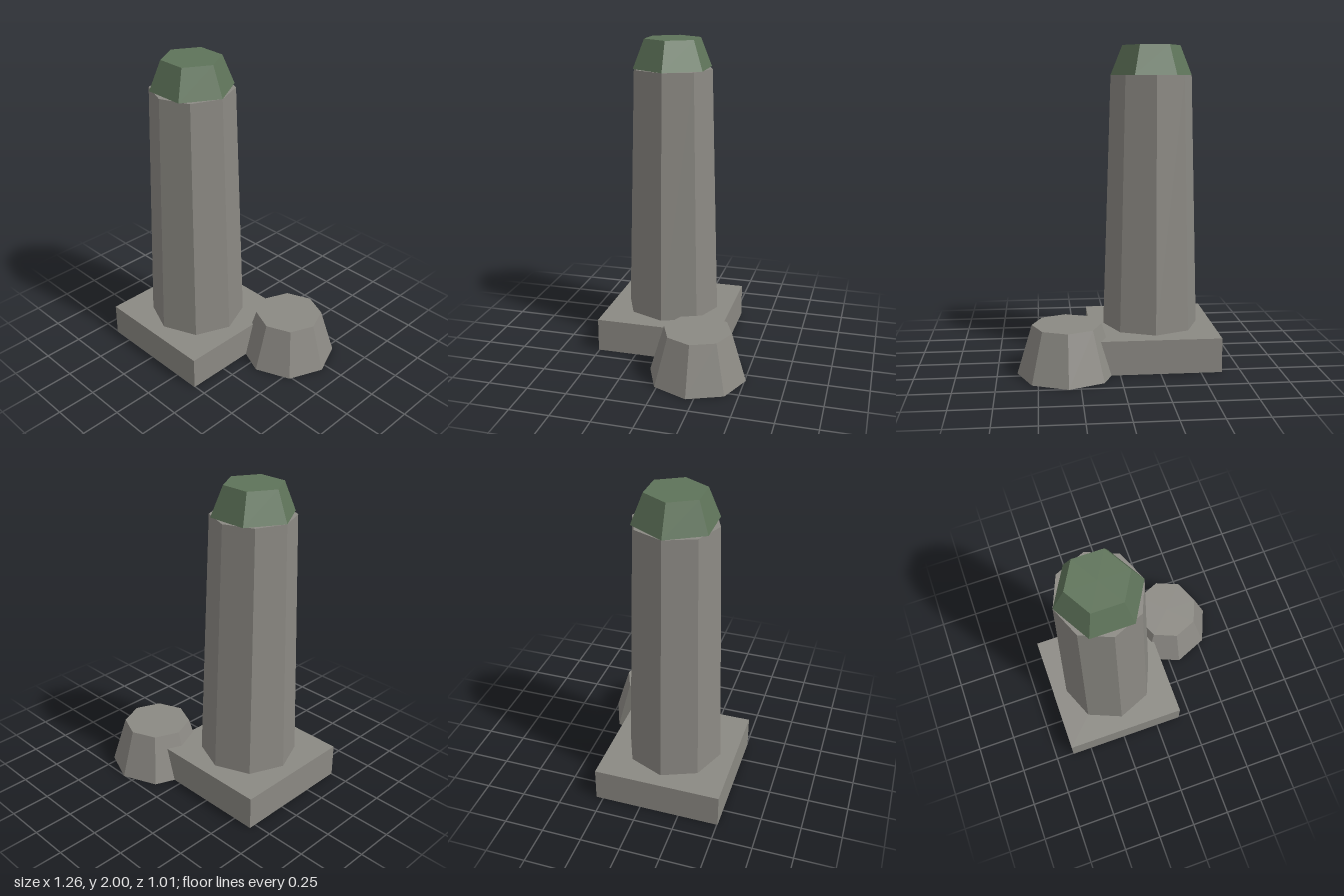
import * as THREE from 'three';

export function createModel() {
  const model = new THREE.Group();

  const stone = new THREE.MeshStandardMaterial({ color: 0x8b8983 });
  stone.name = 'stone grey';
  const moss = new THREE.MeshStandardMaterial({ color: 0x5e7359 });
  moss.name = 'moss green';

  function add(name, geometry, material, x, y, z) {
    // separate the faces so every facet is shaded flat
    const flat = geometry.toNonIndexed();
    flat.computeVertexNormals();
    const mesh = new THREE.Mesh(flat, material);
    mesh.name = name;
    mesh.position.set(x, y, z);
    model.add(mesh);
    return mesh;
  }

  // Tapered prism standing on height y
  function frustum(name, material, rTop, rBottom, height, sides, x, y, z) {
    const geometry = new THREE.CylinderGeometry(rTop, rBottom, height, sides);
    return add(name, geometry, material, x, y + height / 2, z);
  }

  const px = -0.232, pz = 0.105; // pillar axis

  // Square plinth
  add('plinth', new THREE.BoxGeometry(0.796, 0.215, 0.8), stone, px, 0.1075, pz);

  // Octagonal tapering shaft
  frustum('shaft', stone, 0.257, 0.306, 1.601, 8, px, 0.215, pz);

  // Hexagonal mossy cap, corners pointing left and right
  const cap = frustum('mossCap', moss, 0.183, 0.257, 0.184, 6, px, 1.816, pz);
  cap.rotation.y = Math.PI / 6;

  // Fallen block beside the plinth
  frustum('brokenBlock', stone, 0.214, 0.306, 0.306, 8, 0.322, 0, -0.202);

  return model;
}
